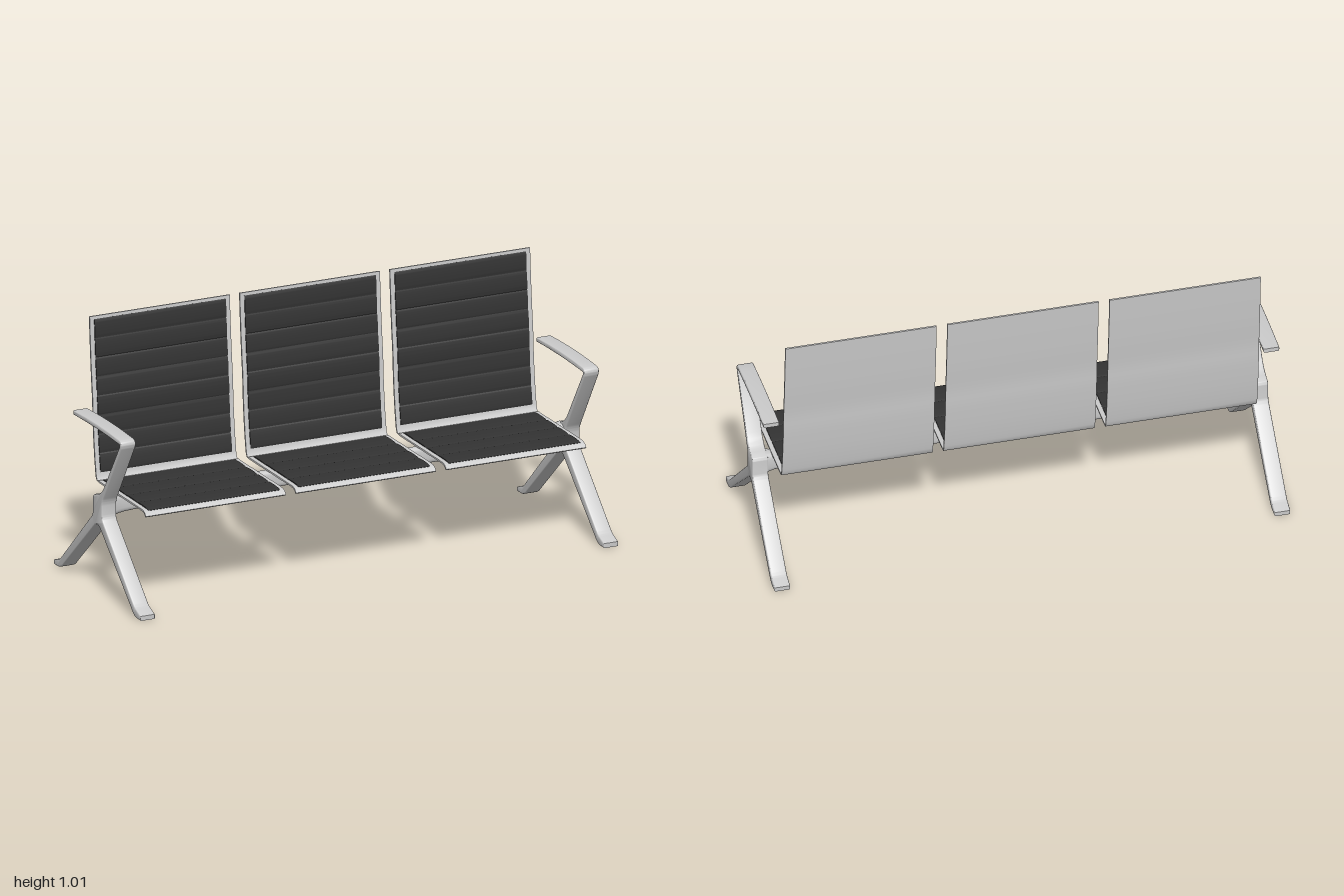
import * as THREE from 'three';
import { toCreasedNormals } from 'three/addons/utils/BufferGeometryUtils.js';

const grey = new THREE.MeshStandardMaterial({ color: 0xcccccc });
const dark = new THREE.MeshStandardMaterial({ color: 0x333333 });

// Extrudes a (z, y) outline across x, centred on x = 0
function extrudeAcross(shape, width, bevel) {
  const geo = new THREE.ExtrudeGeometry(shape, {
    depth: width - 2 * bevel, bevelEnabled: bevel > 0, bevelThickness: bevel,
    bevelSize: bevel, bevelOffset: -bevel, bevelSegments: 3, curveSegments: 8,
  });
  geo.translate(0, 0, -(width - 2 * bevel) / 2);
  geo.rotateY(-Math.PI / 2);
  return toCreasedNormals(geo, 0.6);
}

function addMesh(parent, name, geo, material) {
  const mesh = new THREE.Mesh(geo, material);
  mesh.name = name;
  parent.add(mesh);
  return mesh;
}

// Underside line of the seat shell, from the front lip to the top of the back
const shellCurve = new THREE.SplineCurve([
  [0.252, 0.364], [0.242, 0.375], [0.225, 0.380], [0.1, 0.381], [-0.05, 0.381],
  [-0.15, 0.382], [-0.165, 0.388], [-0.173, 0.405], [-0.186, 0.49], [-0.197, 0.6],
  [-0.202, 0.69], [-0.213, 0.8], [-0.222, 0.91], [-0.229, 1.015],
].map(([z, y]) => new THREE.Vector2(z, y)));
shellCurve.arcLengthDivisions = 600;
const shellLength = shellCurve.getLength();

// Layer that follows the shell line between two distances; top(t) is its height
function layer(from, to, base, top, steps, width) {
  const lower = [], upper = [];
  for (let i = 0; i <= steps; i++) {
    const t = i / steps;
    const u = (from + (to - from) * t) / shellLength;
    const p = shellCurve.getPointAt(u), d = shellCurve.getTangentAt(u);
    const n = new THREE.Vector2(d.y, -d.x);
    lower.push(p.clone().addScaledVector(n, base));
    upper.push(p.clone().addScaledVector(n, top(t)));
  }
  return extrudeAcross(new THREE.Shape([...lower, ...upper.reverse()]), width, 0);
}

// Pad surface with rounded ribs separated by grooves
const ribbed = (count) => (t) =>
  0.0072 + 0.0038 * Math.pow(Math.abs(Math.sin(Math.PI * count * t)), 0.4);

// Leg, hub and armrest in one cast outline
function frameShape() {
  const s = new THREE.Shape();
  s.moveTo(-0.204, 0.645);
  s.quadraticCurveTo(0, 0.653, 0.186, 0.643);
  s.quadraticCurveTo(0.192, 0.641, 0.188, 0.634);
  s.lineTo(0.058, 0.437);
  s.quadraticCurveTo(0.032, 0.4, -0.002, 0.39);
  s.lineTo(-0.026, 0.384);
  s.quadraticCurveTo(-0.037, 0.38, -0.037, 0.365);
  s.lineTo(-0.037, 0.32);
  s.quadraticCurveTo(-0.037, 0.302, -0.05, 0.29);
  // rear leg
  s.lineTo(-0.305, 0.052);
  s.quadraticCurveTo(-0.318, 0.038, -0.335, 0.033);
  s.lineTo(-0.37, 0.021);
  s.lineTo(-0.37, 0.004);
  s.lineTo(-0.335, 0.004);
  s.quadraticCurveTo(-0.31, 0.006, -0.29, 0.026);
  s.lineTo(-0.022, 0.264);
  s.quadraticCurveTo(0, 0.278, 0.022, 0.264);
  // front leg
  s.lineTo(0.29, 0.026);
  s.quadraticCurveTo(0.31, 0.003, 0.335, 0.001);
  s.lineTo(0.37, 0.001);
  s.lineTo(0.37, 0.019);
  s.lineTo(0.335, 0.033);
  s.quadraticCurveTo(0.318, 0.038, 0.305, 0.052);
  s.lineTo(0.054, 0.29);
  s.quadraticCurveTo(0.04, 0.302, 0.04, 0.32);
  s.lineTo(0.04, 0.355);
  // arm support and rest
  s.quadraticCurveTo(0.042, 0.375, 0.054, 0.392);
  s.lineTo(0.2, 0.626);
  s.quadraticCurveTo(0.216, 0.656, 0.186, 0.661);
  s.quadraticCurveTo(0, 0.673, -0.204, 0.662);
  s.closePath();
  return s;
}

// Rounded beam whose section swells towards the hubs
function beamGeometry() {
  const xs = [-0.945, -0.93, -0.915, -0.89, -0.85, -0.5, -0.005, 0];
  const rings = [...xs, ...xs.slice(0, -1).reverse().map((x) => -x)];
  const sides = 24, pos = [], index = [];
  rings.forEach((x, i) => {
    const flare = Math.pow(Math.max(0, (Math.abs(x) - 0.85) / 0.095), 2);
    const seam = x === 0 ? 0.93 : 1;
    const hz = (0.02 + 0.014 * flare) * seam, hy = (0.034 + 0.01 * flare) * seam;
    for (let j = 0; j < sides; j++) {
      const a = (j / sides) * Math.PI * 2, c = Math.cos(a), d = Math.sin(a);
      pos.push(x, 0.345 + hy * Math.sign(d) * Math.pow(Math.abs(d), 0.6),
        -0.003 + hz * Math.sign(c) * Math.pow(Math.abs(c), 0.6));
      if (i < rings.length - 1) {
        const p = i * sides + j, q = i * sides + ((j + 1) % sides);
        index.push(p, q, p + sides, q, q + sides, p + sides);
      }
    }
  });
  const geo = new THREE.BufferGeometry();
  geo.setAttribute('position', new THREE.Float32BufferAttribute(pos, 3));
  // wind the faces outwards
  for (let i = 0; i < index.length; i += 3) {
    [index[i + 1], index[i + 2]] = [index[i + 2], index[i + 1]];
  }
  geo.setIndex(index);
  geo.computeVertexNormals();
  return geo;
}

export function createModel() {
  const bench = new THREE.Group();
  bench.name = 'beamBench';

  // Three seats, each a bent shell with two ribbed pads
  const shellGeo = layer(0, shellLength, 0, () => 0.007, 70, 0.586);
  const seatPadGeo = layer(0.02, 0.404, 0.006, ribbed(4), 64, 0.55);
  const backPadGeo = layer(shellLength - 0.606, shellLength - 0.012, 0.006, ribbed(8), 128, 0.55);
  for (const i of [-1, 0, 1]) {
    const seat = new THREE.Group();
    seat.name = 'seat';
    seat.position.x = i * 0.628;
    addMesh(seat, 'seatShell', shellGeo, grey);
    addMesh(seat, 'seatPad', seatPadGeo, dark);
    addMesh(seat, 'backPad', backPadGeo, dark);
    bench.add(seat);
  }

  // Cross beam under the seats
  const beamMaterial = grey.clone();
  beamMaterial.side = THREE.DoubleSide;
  addMesh(bench, 'beam', beamGeometry(), beamMaterial);

  // End frames with legs and armrest
  const frameGeo = extrudeAcross(frameShape(), 0.062, 0.005);
  for (const side of [-1, 1]) {
    addMesh(bench, side > 0 ? 'leftEndFrame' : 'rightEndFrame', frameGeo, grey).position.x = side * 0.969;
  }
  return bench;
}
